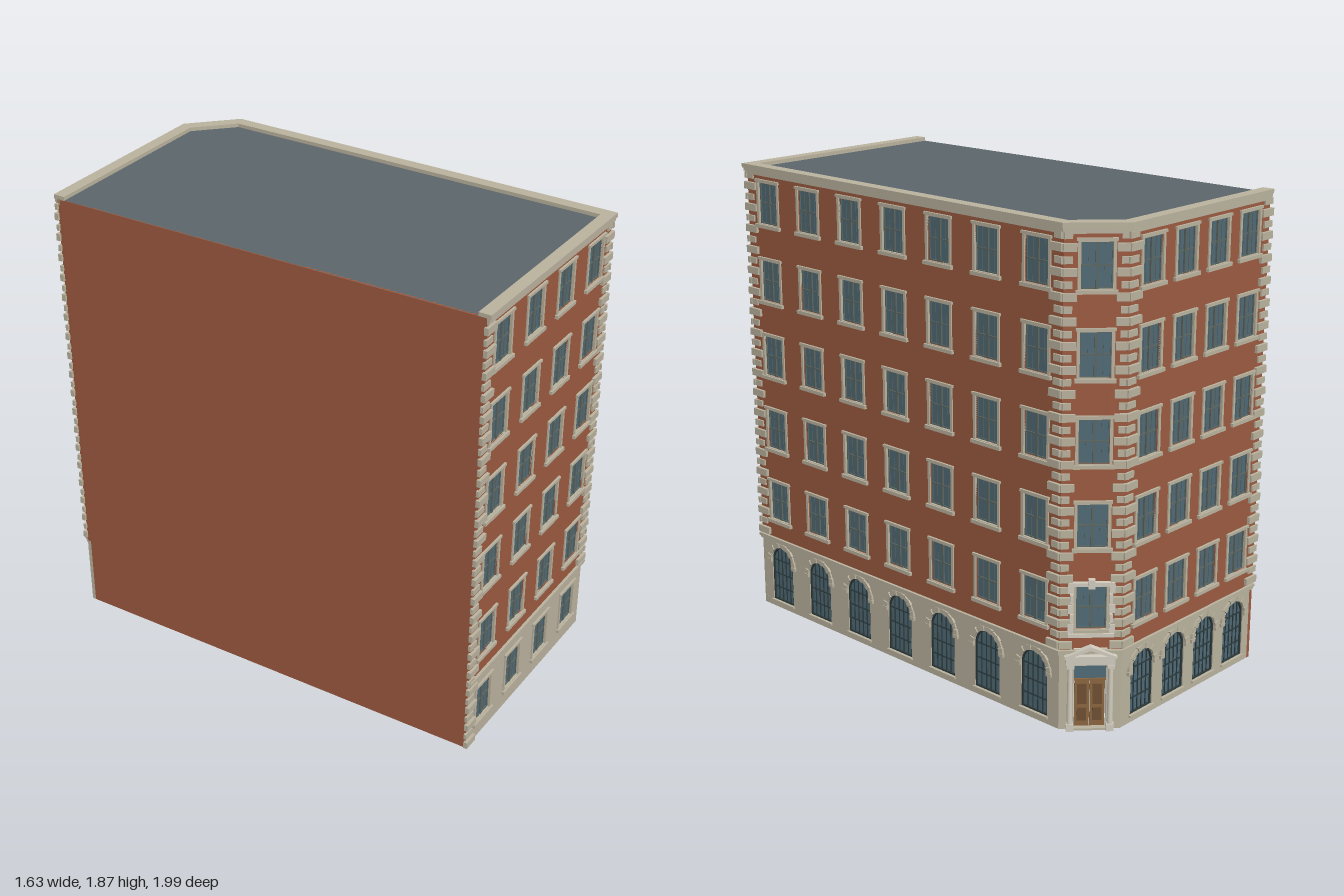
import * as THREE from 'three';
import { mergeGeometries } from 'three/addons/utils/BufferGeometryUtils.js';

const mat = (color) => new THREE.MeshStandardMaterial({ color, side: THREE.DoubleSide });
const brick = mat(0x9c5a40), stone = mat(0xbab29e), pale = mat(0xd2ccbe), roofMat = mat(0x5c656b);
const glass = mat(0x4f6a76), sash = mat(0x5a6663), iron = mat(0x2c3a3c), wood = mat(0x8a6540);

const GROUND = 0.3, TOP = 1.85, FLOOR = 0.31, MARGIN = 0.12;
// Footprint corners as (x, z): front-left, front-right, entrance corner, back-left
const E = [-0.066, 0.976], D = [0.795, 0.617], C = [0.143, -0.903], B = [-0.066, -0.984], A = [-0.804, -0.656];
const street = [E, D, C, B, A];

function box(x0, x1, y0, y1, z0, z1) {
  return new THREE.BoxGeometry(x1 - x0, y1 - y0, z1 - z0).translate((x0 + x1) / 2, (y0 + y1) / 2, (z0 + z1) / 2);
}
function add(parent, name, geos, material) {
  const list = [].concat(geos).map((g) => (g.index ? g.toNonIndexed() : g));
  const mesh = new THREE.Mesh(list.length > 1 ? mergeGeometries(list) : list[0], material);
  mesh.name = name;
  parent.add(mesh);
  return mesh;
}
function rectPath(x0, x1, y0, y1, Type = THREE.Path) {
  return new Type([[x0, y0], [x1, y0], [x1, y1], [x0, y1]].map((p) => new THREE.Vector2(...p)));
}
function archPath(x, r, y0, spring, Type = THREE.Path) {
  const p = new Type();
  p.moveTo(x - r, y0);
  p.lineTo(x + r, y0);
  p.lineTo(x + r, spring);
  p.absarc(x, spring, r, 0, Math.PI, false);
  p.lineTo(x - r, y0);
  return p;
}
function slab(shape, z0, z1) {
  return new THREE.ExtrudeGeometry(shape, { depth: z1 - z0, bevelEnabled: false, curveSegments: 12 }).translate(0, 0, z0);
}
function wallPanel(len, y0, y1, holes) {
  const s = rectPath(0, len, y0, y1, THREE.Shape);
  s.holes.push(...holes);
  return slab(s, -0.016, 0);
}

// Street outline moved outward by d, mitred at the corners
function offset(d) {
  const normals = street.slice(1).map((q, i) => {
    const p = street[i];
    return new THREE.Vector2(p[1] - q[1], q[0] - p[0]).normalize().multiplyScalar(-1);
  }).map((n) => n.multiplyScalar(-1));
  return street.map((p, i) => {
    const a = normals[Math.max(i - 1, 0)], b = normals[Math.min(i, normals.length - 1)];
    const m = a.clone().add(b).multiplyScalar(1 / (1 + a.dot(b)));
    return new THREE.Vector2(p[0] + m.x * d, -(p[1] + m.y * d));
  });
}
function course(out, inner, y0, y1) {
  const s = new THREE.Shape([...offset(out), ...offset(inner).reverse()]);
  return slab(s, 0, y1 - y0).rotateX(-Math.PI / 2).translate(0, y0, 0);
}

// Sash window centred on x = 0, sill bottom at y = 0
const W = 0.054, H0 = 0.016, H1 = 0.178;
const surround = rectPath(-W - 0.011, W + 0.011, 0.01, H1 + 0.012, THREE.Shape);
surround.holes.push(rectPath(-W, W, H0, H1));
const trimGeo = [slab(surround, -0.012, 0.005), box(-0.072, 0.072, 0, 0.014, 0, 0.012),
  box(-0.069, 0.069, H1 + 0.004, H1 + 0.014, 0, 0.009)];
const mid = (H0 + H1) / 2;
const sashGeo = [box(-0.005, 0.005, H0, H1, -0.012, -0.003), box(-W, W, mid - 0.003, mid + 0.003, -0.012, -0.005)];
for (const s of [-1, 1]) {
  sashGeo.push(box(s * W - 0.004, s * W + 0.004, H0, H1, -0.012, -0.005));
  sashGeo.push(box(s * W / 2 - 0.001, s * W / 2 + 0.001, H0, H1, -0.012, -0.008));
}
for (const y of [H0, H1]) sashGeo.push(box(-W, W, y - 0.004, y + 0.004, -0.012, -0.005));
const windowHole = (x, y) => rectPath(x - W, x + W, y + H0, y + H1);

function sashWindow(parent, x, y) {
  const g = new THREE.Group();
  g.name = 'window';
  g.position.set(x, y, 0);
  add(g, 'windowSurround', trimGeo, stone);
  add(g, 'windowSash', sashGeo, sash);
  add(g, 'windowGlass', box(-W, W, H0, H1, -0.012, -0.01), glass);
  parent.add(g);
}

// Arched ground-floor window with alternating arch stones
const R = 0.064, SPRING = 0.21, SILL = 0.03;
function archWindow(parent, x) {
  const g = new THREE.Group();
  g.name = 'archedWindow';
  g.position.x = x;
  add(g, 'archGlass', slab(archPath(0, R, SILL, SPRING, THREE.Shape), -0.013, -0.011), glass);
  const rim = archPath(0, R, SILL, SPRING, THREE.Shape);
  rim.holes.push(archPath(0, R - 0.006, SILL + 0.006, SPRING));
  const bars = [slab(rim, -0.012, -0.004)];
  for (const bx of [-0.036, -0.012, 0.012, 0.036]) {
    bars.push(box(bx - 0.0015, bx + 0.0015, SILL, SPRING + Math.sqrt(R * R - bx * bx), -0.011, -0.007));
  }
  for (const y of [0.09, 0.15, SPRING]) bars.push(box(-R, R, y - 0.002, y + 0.002, -0.011, -0.006));
  add(g, 'archGlazingBars', bars, iron);
  const stones = [], n = 11;
  for (let i = 0; i < n; i++) {
    const a0 = (i + 0.04) * Math.PI / n, a1 = (i + 0.96) * Math.PI / n, s = new THREE.Shape();
    s.absarc(0, SPRING, i % 2 ? 0.081 : 0.085, a0, a1, false);
    s.absarc(0, SPRING, R, a1, a0, true);
    stones.push(slab(s, -0.004, i % 2 ? 0.006 : 0.009));
  }
  for (const s of [-1, 1]) stones.push(box(s * 0.076 - 0.012, s * 0.076 + 0.012, SPRING - 0.014, SPRING, -0.002, 0.01));
  stones.push(box(-0.07, 0.07, SILL - 0.008, SILL, -0.01, 0.008));
  add(g, 'archStones', stones, stone);
  parent.add(g);
}

// Column of alternating corner stones at one end of a wall
function quoins(parent, x, dir, y0, long, short) {
  const list = [];
  for (let y = y0, i = 0; y < 1.81; y += 0.0425, i++) {
    const a = x - dir * 0.01, b = x + dir * (i % 2 ? short : long);
    list.push(box(Math.min(a, b), Math.max(a, b), y + 0.006, y + (i % 2 ? 0.03 : 0.034), -0.004, i % 2 ? 0.007 : 0.012));
  }
  add(parent, 'cornerStones', list, stone);
}

// Group whose x runs along the wall and whose z points outward
function wallFrame(root, name, p, q) {
  const g = new THREE.Group();
  g.name = name;
  g.position.set(p[0], 0, p[1]);
  g.rotation.y = Math.atan2(p[1] - q[1], q[0] - p[0]);
  root.add(g);
  return [g, Math.hypot(q[0] - p[0], q[1] - p[1])];
}

function streetWall(root, name, p, q, count, ground) {
  const [g, len] = wallFrame(root, name, p, q);
  const xs = count === 1 ? [len / 2]
    : Array.from({ length: count }, (_, i) => MARGIN + i * (len - 2 * MARGIN) / (count - 1));
  const upper = [], lower = [];
  for (const x of xs) {
    for (let f = 0; f < 5; f++) {
      upper.push(windowHole(x, 0.38 + f * FLOOR));
      sashWindow(g, x, 0.38 + f * FLOOR);
    }
    if (ground === 'arch') {
      lower.push(archPath(x, R, SILL, SPRING));
      archWindow(g, x);
    } else if (ground === 'sash') {
      lower.push(windowHole(x, 0.065));
      sashWindow(g, x, 0.065);
    } else lower.push(rectPath(x - 0.058, x + 0.058, 0.008, 0.25));
  }
  add(g, 'brickWall', wallPanel(len, GROUND, TOP, upper), brick);
  add(g, 'stoneGroundFloor', wallPanel(len, 0, GROUND, lower), stone);
  const [long, short] = count === 1 ? [0.045, 0.03] : [0.055, 0.038];
  quoins(g, 0, 1, ground === 'sash' ? 0 : 0.315, long, short);
  quoins(g, len, -1, 0.315, long, short);
  return [g, len];
}

// Corner entrance with columns and pediment, and the dressed window above
function entrance(wall, len) {
  const g = new THREE.Group();
  g.name = 'entrance';
  g.position.x = len / 2;
  wall.add(g);
  const leaves = [], panels = [], columns = [], blocks = [];
  for (const s of [-1, 1]) {
    const c = s * 0.028;
    leaves.push(box(c - 0.027, c + 0.027, 0.008, 0.19, -0.014, -0.008));
    for (const [y0, y1] of [[0.03, 0.08], [0.095, 0.175]]) panels.push(box(c - 0.017, c + 0.017, y0, y1, -0.01, -0.005));
    columns.push(new THREE.CylinderGeometry(0.009, 0.011, 0.23, 14).translate(s * 0.073, 0.14, 0.012));
    for (const [y0, y1] of [[0, 0.028], [0.248, 0.262]]) columns.push(box(s * 0.073 - 0.014, s * 0.073 + 0.014, y0, y1, -0.002, 0.025));
    for (let i = 0; i < 5; i++) {
      const w = i % 2 ? 0.012 : 0.02, y = 0.385 + i * 0.038;
      blocks.push(box(s * 0.064 - (s < 0 ? w : 0), s * 0.064 + (s > 0 ? w : 0), y, y + 0.033, -0.002, 0.016));
    }
  }
  add(g, 'doorLeaves', leaves, wood);
  add(g, 'doorPanels', panels, mat(0x6f4f32));
  add(g, 'transomGlass', box(-0.058, 0.058, 0.197, 0.25, -0.014, -0.01), glass);
  add(g, 'transomBar', box(-0.058, 0.058, 0.19, 0.197, -0.014, -0.003), wood);
  add(g, 'doorstep', box(-0.06, 0.06, 0, 0.008, -0.016, 0.015), stone);
  add(g, 'columns', columns, pale);
  const gable = new THREE.Shape([[-0.095, 0.288], [0.095, 0.288], [0.095, 0.295], [0, 0.335], [-0.095, 0.295]].map((p) => new THREE.Vector2(...p)));
  gable.holes.push(new THREE.Path([[-0.06, 0.297], [0.06, 0.297], [0, 0.321]].map((p) => new THREE.Vector2(...p))));
  add(g, 'pediment', [slab(gable, 0, 0.027), box(-0.088, 0.088, 0.262, 0.288, -0.002, 0.023),
    box(-0.06, 0.06, 0.29, 0.32, 0, 0.008)], pale);
  for (const y of [0.368, 0.564]) blocks.push(box(-0.082, 0.082, y, y + 0.014, -0.002, 0.018));
  blocks.push(box(-0.012, 0.012, 0.555, 0.59, -0.002, 0.021));
  add(g, 'dressedWindowStones', blocks, pale);
}

export function createModel() {
  const root = new THREE.Group();
  root.name = 'cornerBuilding';

  streetWall(root, 'frontWall', E, D, 4, 'sash');
  streetWall(root, 'rightWall', D, C, 7, 'arch');
  entrance(...streetWall(root, 'entranceWall', C, B, 1, 'door'));
  streetWall(root, 'backWall', B, A, 4, 'arch');

  // Blank party wall
  const [party, len] = wallFrame(root, 'partyWall', A, E);
  add(party, 'blankBrickWall', wallPanel(len, 0, TOP, []), brick);

  // Roof deck, cornice and the band above the ground floor
  const deck = new THREE.ShapeGeometry(new THREE.Shape(offset(0))).rotateX(-Math.PI / 2).translate(0, TOP, 0);
  add(root, 'roof', deck, roofMat);
  add(root, 'cornice', [course(0.007, -0.01, 1.826, 1.836), course(0.011, -0.01, 1.836, 1.848),
    course(0.015, -0.033, 1.848, 1.865)], stone);
  add(root, 'groundFloorBand', [course(0.006, -0.004, 0.292, 0.302), course(0.011, -0.004, 0.302, 0.314)], stone);
  return root;
}
